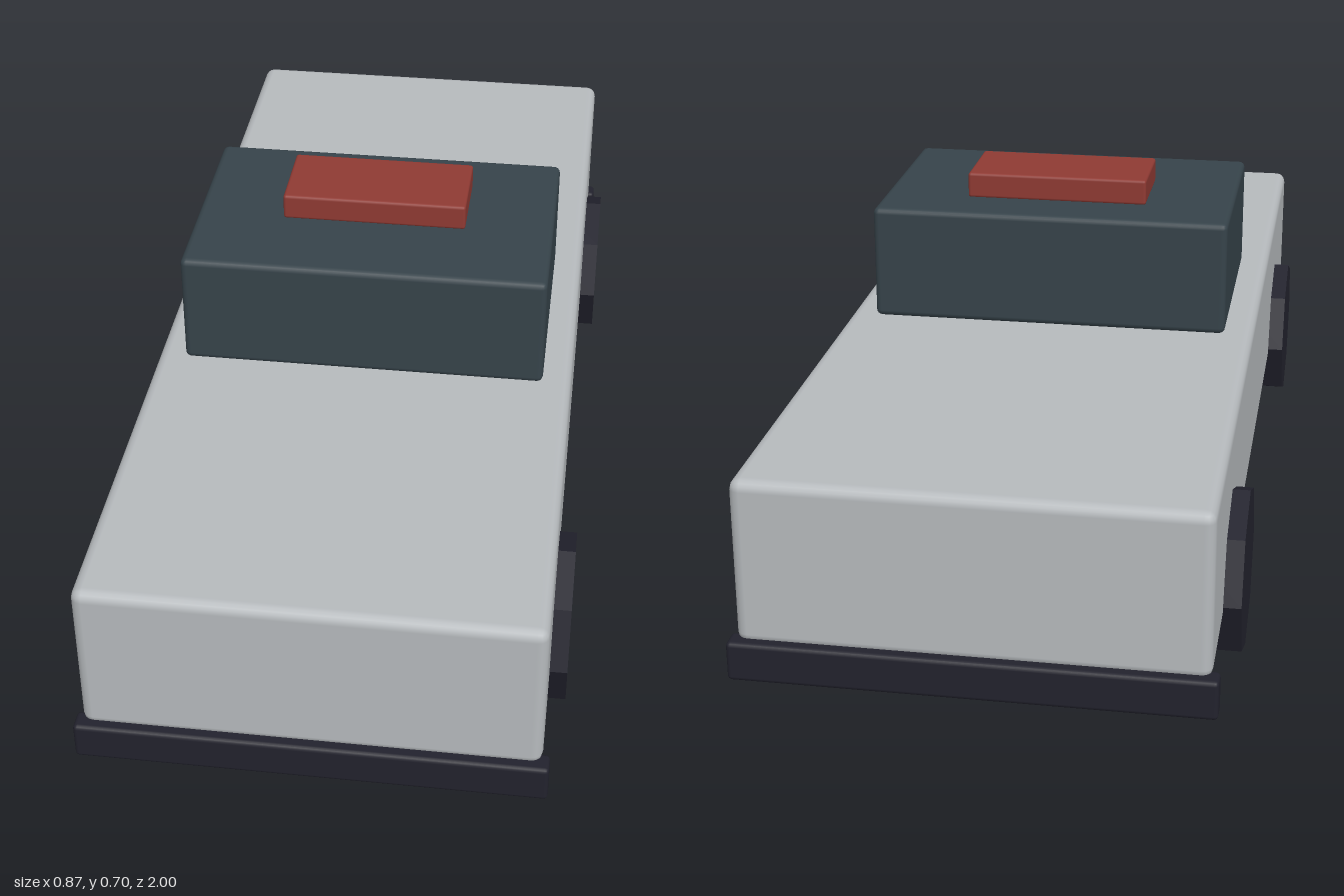
import * as THREE from 'three';
import { RoundedBoxGeometry } from 'three/addons/geometries/RoundedBoxGeometry.js';

const material = (name, color) => {
  const m = new THREE.MeshStandardMaterial({ color });
  m.name = name;
  return m;
};

export function createModel() {
  const car = new THREE.Group();
  car.name = 'car';

  const silver = material('silver paint', 0xb6babd);
  const glass = material('dark glass', 0x36434a);
  const red = material('red light', 0x8f3a33);
  const black = material('black rubber', 0x22222d);

  // Box with softened edges, placed by its centre
  const block = (name, mat, [w, h, d], [x, y, z], radius) => {
    const mesh = new THREE.Mesh(new RoundedBoxGeometry(w, h, d, 2, radius), mat);
    mesh.name = name;
    mesh.position.set(x, y, z);
    car.add(mesh);
  };

  // Body, cabin and roof light
  block('body', silver, [0.81, 0.305, 1.96], [0, 0.2775, 0], 0.02);
  block('cabin', glass, [0.7, 0.225, 0.457], [0, 0.5425, 0.049], 0.012);
  block('roofLight', red, [0.358, 0.051, 0.17], [0, 0.679, 0.012], 0.006);

  // Bumpers and eight-sided wheels at both ends
  const wheelGeometry = new THREE.CylinderGeometry(0.154, 0.154, 0.109, 8).toNonIndexed();
  wheelGeometry.rotateZ(Math.PI / 2);
  wheelGeometry.computeVertexNormals();
  for (const end of [1, -1]) {
    const endName = end > 0 ? 'front' : 'rear';
    block(endName + 'Bumper', black, [0.836, 0.072, 0.042], [0, 0.101, end * 0.979], 0.008);
    for (const side of [1, -1]) {
      const wheel = new THREE.Mesh(wheelGeometry, black);
      wheel.name = endName + (side > 0 ? 'Left' : 'Right') + 'Wheel';
      wheel.position.set(side * 0.3825, 0.154, end * 0.621);
      car.add(wheel);
    }
  }
  return car;
}
